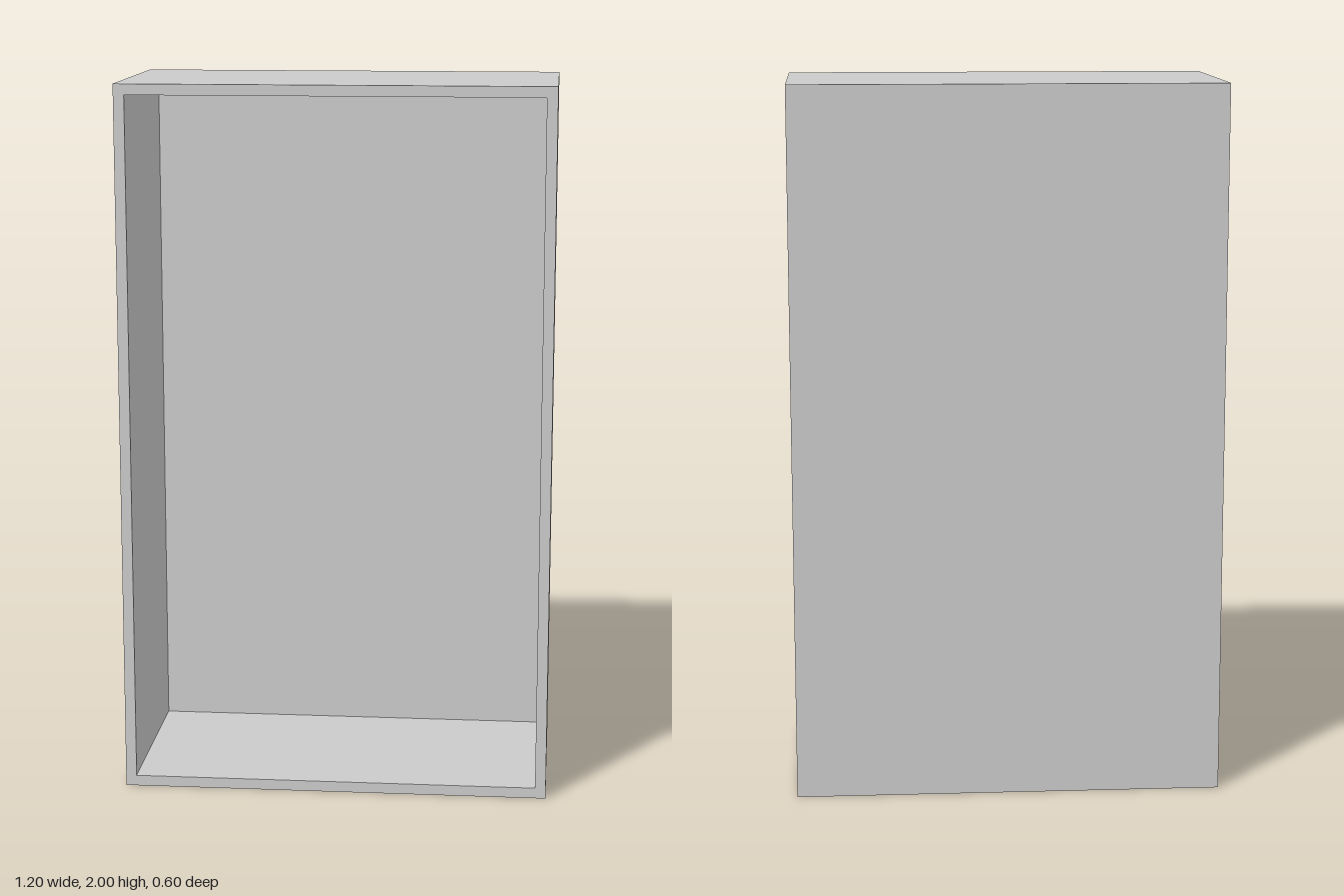
import * as THREE from 'three';

const W = 1.2, H = 2, D = 0.6, T = 0.03; // outer size and wall thickness

// Adds an axis-aligned rectangle centred on x = 0 to a shape or path
function rect(path, halfWidth, y0, y1) {
  path.moveTo(-halfWidth, y0);
  path.lineTo(halfWidth, y0);
  path.lineTo(halfWidth, y1);
  path.lineTo(-halfWidth, y1);
  path.closePath();
  return path;
}

export function createModel() {
  const group = new THREE.Group();
  group.name = 'openCabinet';
  const material = new THREE.MeshStandardMaterial({ color: 0xcccccc });

  // Four walls as one hollow frame, open at the front
  const outline = rect(new THREE.Shape(), W / 2, 0, H);
  outline.holes.push(rect(new THREE.Path(), W / 2 - T, T, H - T));
  const walls = new THREE.Mesh(
    new THREE.ExtrudeGeometry(outline, { depth: D - T, bevelEnabled: false }),
    material
  );
  walls.name = 'walls';
  walls.position.z = -D / 2 + T;
  group.add(walls);

  // Panel closing the back
  const back = new THREE.Mesh(new THREE.BoxGeometry(W, H, T), material);
  back.name = 'backPanel';
  back.position.set(0, H / 2, -D / 2 + T / 2);
  group.add(back);

  return group;
}
